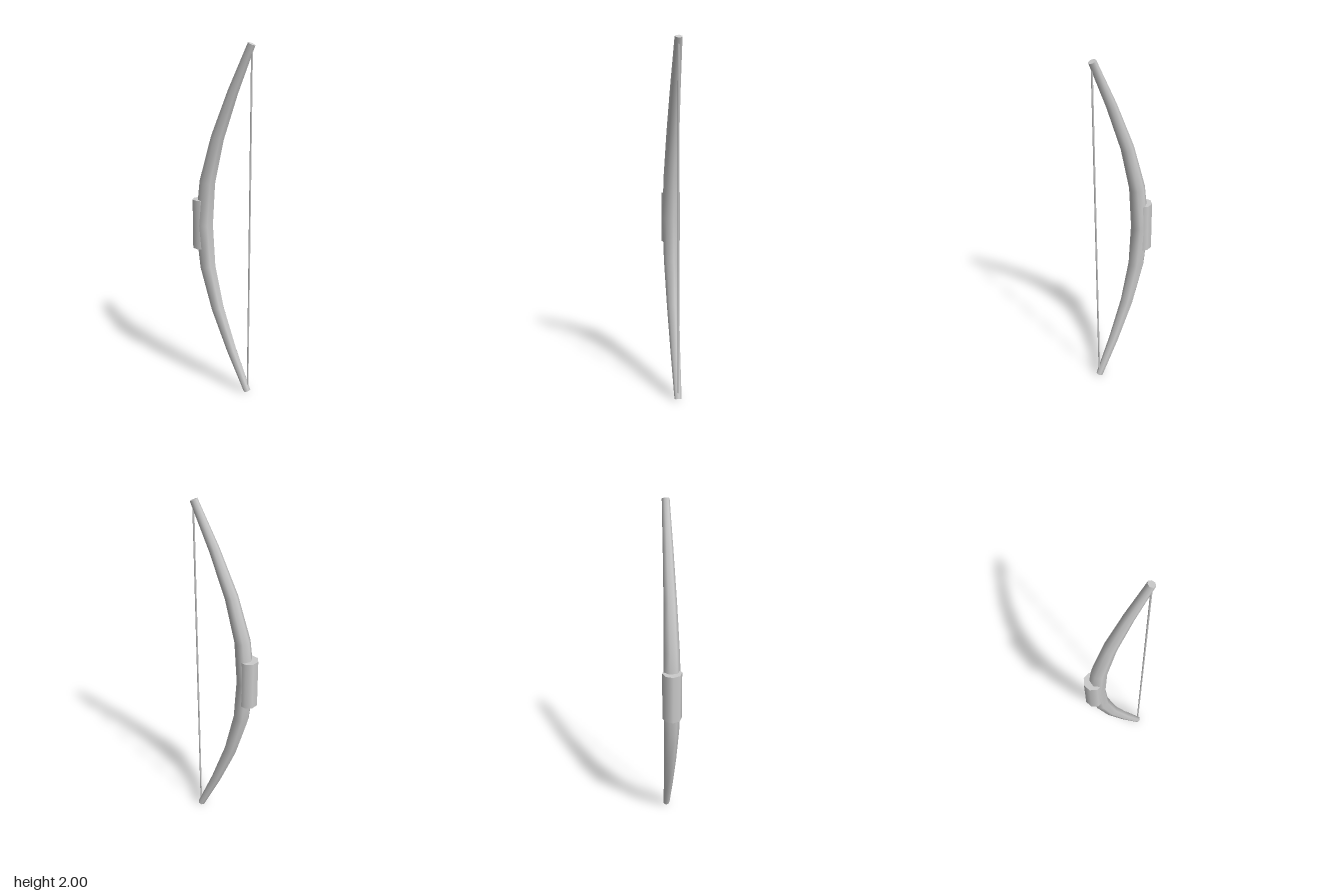
import * as THREE from 'three';

const SIDES = 7;
const START = Math.PI * 1.095; // turn of the seven-sided section

// Half of the bow stave, middle to tip: [height above middle, x, radius]
const HALF = [[0, -0.12, 0.051], [0.25, -0.098, 0.045], [0.5, -0.034, 0.037], [0.75, 0.06, 0.029], [0.991, 0.165, 0.021]];

// Tapered tube through the rings, each square to the curve, with flat caps
function staveGeometry() {
  const rings = [
    ...HALF.slice(1).reverse().map(([h, x, r]) => [1 - h, x, r]),
    ...HALF.map(([h, x, r]) => [1 + h, x, r]),
  ];
  const pos = [], idx = [];
  const addRing = ([y, x, r], i) => {
    const a = rings[Math.max(i - 1, 0)], b = rings[Math.min(i + 1, rings.length - 1)];
    const t = new THREE.Vector2(b[1] - a[1], b[0] - a[0]).normalize();
    for (let s = 0; s < SIDES; s++) {
      const ang = START - (s / SIDES) * Math.PI * 2;
      const u = Math.cos(ang) * r;
      pos.push(x + u * t.y, y - u * t.x, Math.sin(ang) * r);
    }
  };
  rings.forEach(addRing);
  for (let i = 0; i < rings.length - 1; i++) {
    for (let s = 0; s < SIDES; s++) {
      const n = (s + 1) % SIDES;
      const a = i * SIDES + s, b = i * SIDES + n, c = a + SIDES, d = b + SIDES;
      idx.push(a, b, d, a, d, c);
    }
  }
  // Caps use their own vertices so the rims stay sharp
  for (const i of [0, rings.length - 1]) {
    const base = pos.length / 3;
    addRing(rings[i], i);
    for (let s = 1; s < SIDES - 1; s++) {
      if (i === 0) idx.push(base, base + s + 1, base + s);
      else idx.push(base, base + s, base + s + 1);
    }
  }
  const g = new THREE.BufferGeometry();
  g.setAttribute('position', new THREE.Float32BufferAttribute(pos, 3));
  g.setIndex(idx);
  g.computeVertexNormals();
  return g;
}

export function createModel() {
  const group = new THREE.Group();
  group.name = 'bow';
  const grey = new THREE.MeshStandardMaterial({ color: 0xcccccc });
  const add = (name, geometry, x, y) => {
    const mesh = new THREE.Mesh(geometry, grey);
    mesh.name = name;
    mesh.position.set(x, y, 0);
    group.add(mesh);
  };

  add('stave', staveGeometry(), 0, 0);

  // Eight-sided grip on the outer side of the stave
  add('grip', new THREE.CylinderGeometry(0.054, 0.054, 0.285, 8), -0.136, 1.003);

  // Bowstring between the tips
  add('bowstring', new THREE.CylinderGeometry(0.005, 0.005, 1.95, 6), 0.167, 1);

  return group;
}
